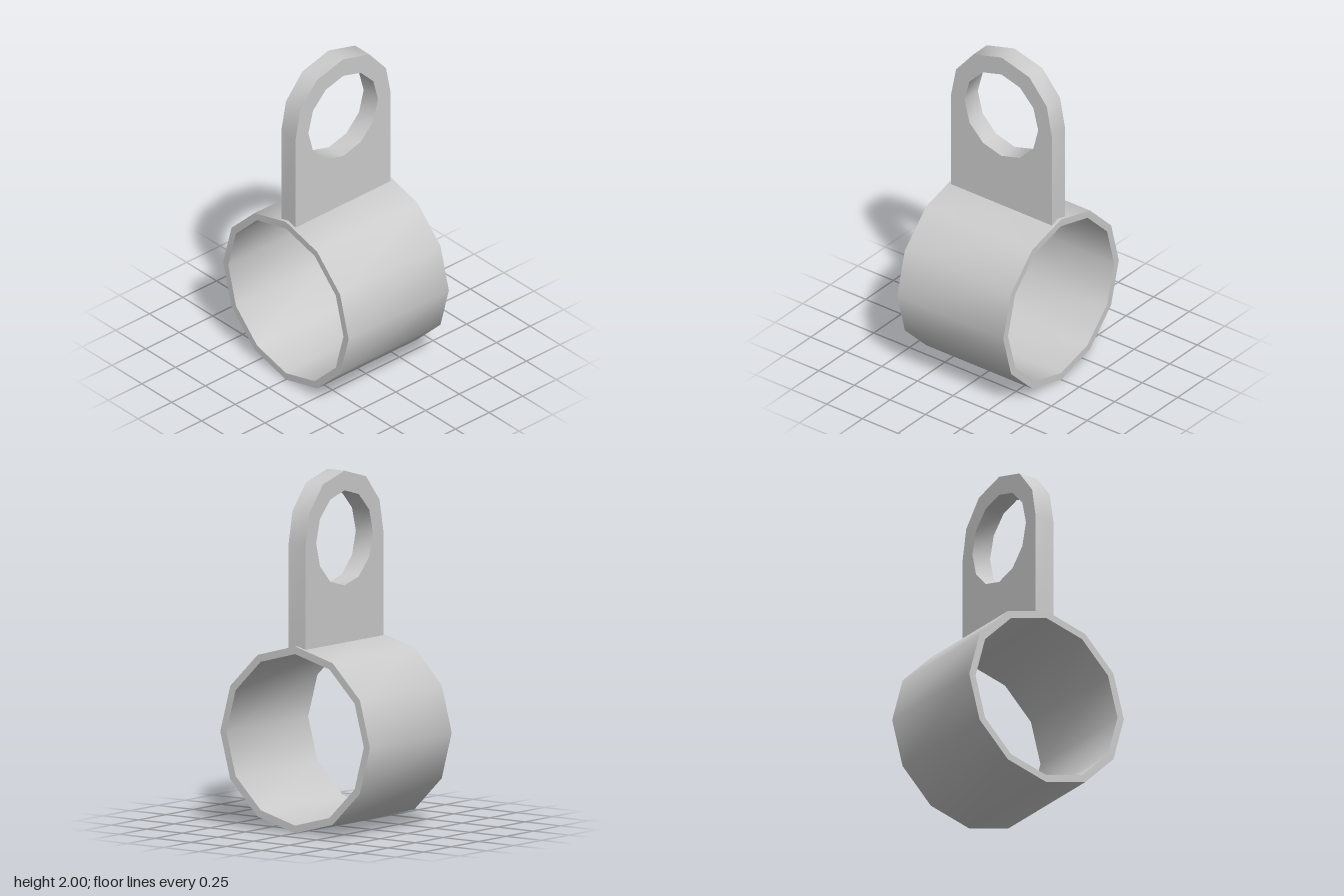
import * as THREE from 'three';
import { toCreasedNormals } from 'three/addons/utils/BufferGeometryUtils.js';

const SIDES = 12;
const material = new THREE.MeshStandardMaterial({ color: 0xcccccc });

// Points on an ellipse centred on (0, cy), from step a to step b of the 12 sides
function arc(rx, ry, cy, a, b) {
  const points = [];
  for (let i = a; i <= b; i++) {
    const t = (i / SIDES) * Math.PI * 2;
    points.push(new THREE.Vector2(rx * Math.cos(t), cy + ry * Math.sin(t)));
  }
  return points;
}

// Plate of the given outline and hole, extruded evenly to both sides of z = 0
function plate(name, outline, hole, depth) {
  const shape = new THREE.Shape(outline);
  shape.holes.push(new THREE.Path(hole));
  const geometry = new THREE.ExtrudeGeometry(shape, { depth, bevelEnabled: false });
  geometry.translate(0, 0, -depth / 2);
  const mesh = new THREE.Mesh(toCreasedNormals(geometry, 0.7), material);
  mesh.name = name;
  return mesh;
}

export function createModel() {
  const group = new THREE.Group();
  group.name = 'ringWithEyelet';

  // Open twelve-sided sleeve lying along z
  const sleeve = plate('sleeve',
    arc(0.525, 0.525, 0.525, 0, SIDES - 1),
    arc(0.482, 0.482, 0.525, 0, SIDES - 1), 0.746);

  // Upright tab with a rounded top and an eye, its foot sunk in the sleeve wall
  const outline = [
    new THREE.Vector2(-0.354, 1.02),
    new THREE.Vector2(0.354, 1.02),
    new THREE.Vector2(0.354, 1.62),
    new THREE.Vector2(0.319, 1.8),
    new THREE.Vector2(0.196, 1.946),
    new THREE.Vector2(0, 2),
    new THREE.Vector2(-0.196, 1.946),
    new THREE.Vector2(-0.319, 1.8),
    new THREE.Vector2(-0.354, 1.62),
  ];
  const tab = plate('eyeletTab', outline, arc(0.259, 0.267, 1.622, 0, SIDES - 1), 0.12);
  tab.rotation.y = -Math.PI / 2;

  group.add(sleeve, tab);
  return group;
}
